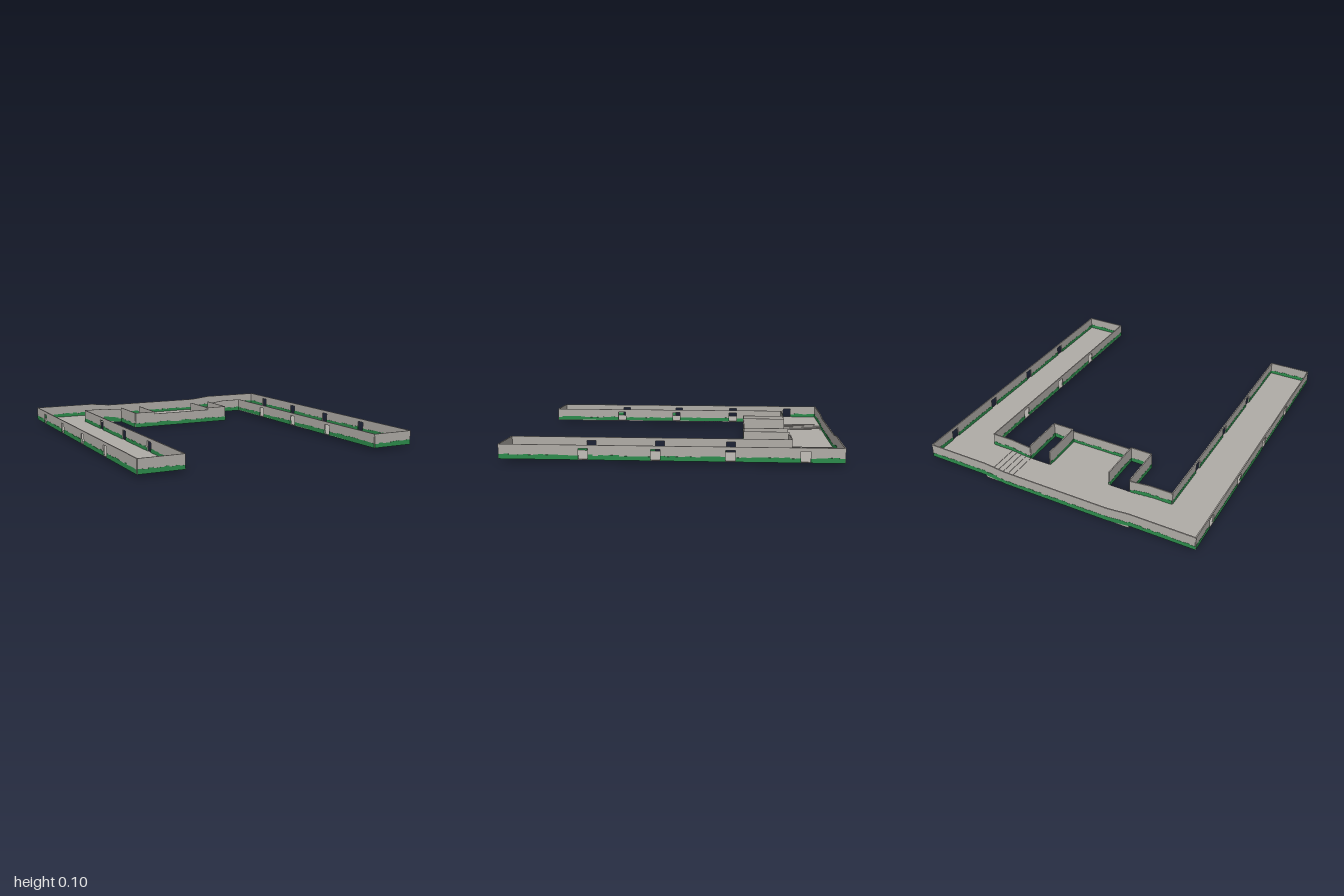
import * as THREE from 'three';

const stone = new THREE.MeshStandardMaterial({ color: 0xb0aca7 });
stone.name = 'grey stone';
const green = new THREE.MeshStandardMaterial({ color: 0x2c8c4c });
green.name = 'moss green';

const T = 0.007;            // wall thickness
const HI = 0.018, LO = 0;   // base heights of the wings and the sunken court
const TOP = 0.105, LOWTOP = 0.09;
const SLOT = 0.055, SLOT_TOP = 0.085;

let seed = 7;
const rand = () => (seed = (seed * 16807) % 2147483647) / 2147483647;

export function createModel() {
  const model = new THREE.Group();

  function box(name, x0, x1, y0, y1, z0, z1) {
    const m = new THREE.Mesh(new THREE.BoxGeometry(x1 - x0, y1 - y0, z1 - z0), stone);
    m.position.set((x0 + x1) / 2, (y0 + y1) / 2, (z0 + z1) / 2);
    m.name = name;
    model.add(m);
  }

  // Upright panel: a (distance, height) outline extruded to the given thickness
  function panel(points, depth, material, name, parent) {
    const shape = new THREE.Shape(points.map(([s, y]) => new THREE.Vector2(s, y)));
    const geo = new THREE.ExtrudeGeometry(shape, { depth, bevelEnabled: false });
    geo.translate(0, 0, -depth / 2);
    const m = new THREE.Mesh(geo, material);
    m.name = name;
    parent.add(m);
  }

  // Wall from a to b with base and top heights at each end, and slots open at the bottom
  function wall(name, [ax, az], [bx, bz], base, top, slots = []) {
    const g = new THREE.Group();
    g.name = name;
    const L = Math.hypot(bx - ax, bz - az);
    const baseAt = s => base[0] + (base[1] - base[0]) * s / L;
    const outline = [[0, base[0]]];
    const runs = [];
    let start = 0;
    for (const c of slots) {
      const s0 = c - SLOT / 2, s1 = c + SLOT / 2;
      outline.push([s0, baseAt(s0)], [s0, SLOT_TOP], [s1, SLOT_TOP], [s1, baseAt(s1)]);
      runs.push([start, s0]);
      start = s1;
    }
    runs.push([start, L]);
    outline.push([L, base[1]], [L, top[1]], [0, top[0]]);
    panel(outline, T, stone, 'wallStone', g);

    // Ragged moss along the foot, showing on both faces
    for (const [s0, s1] of runs) {
      const n = Math.max(1, Math.round((s1 - s0) / 0.03));
      const pts = [[s0, baseAt(s0)], [s1, baseAt(s1)]];
      for (let i = n; i > 0; i--) {
        const h = 0.024 + 0.008 * rand();
        for (const k of [i, i - 1]) {
          const s = s0 + (s1 - s0) * k / n;
          pts.push([s, baseAt(s) + h]);
        }
      }
      panel(pts, T + 0.002, green, 'moss', g);
    }
    g.position.set(ax, 0, az);
    g.rotation.y = Math.atan2(-(bz - az), bx - ax);
    model.add(g);
  }

  // Sunken court floor
  box('courtFloor', -0.5, 0.5, 0, 0.008, -0.997, -0.715);
  box('courtBalcony', -0.215, 0.215, 0, 0.008, -0.715, -0.43);

  const e = T / 2 + 0.001;
  const back = -1 + e, inner = -0.715, outX = 0.92 - e, inX = 0.635 + e, end = 1 - e;
  const slotZ = [-0.775, -0.35, 0.08, 0.5];
  const hi = [HI, HI], hiTop = [TOP, TOP], lo = [LO, LO];

  for (const s of [-1, 1]) {
    const span = (a, b) => [Math.min(s * a, s * b), Math.max(s * a, s * b)];

    // Wing and corner floors
    box('wingFloor', ...span(0.635, 0.918), HI, HI + 0.005, inner, 0.998);
    box('cornerFloor', ...span(0.5, 0.918), HI, HI + 0.005, -0.998, inner);

    // Steps down to the court
    for (let i = 0; i < 4; i++)
      box('step', ...span(0.36 + i * 0.035, 0.395 + i * 0.035), 0.004, 0.011 + i * 0.003, -0.997, inner);

    // Wing walls
    wall('outerWall', [s * outX, back], [s * outX, end], hi, hiTop, slotZ.map(z => z - back));
    wall('innerWall', [s * inX, inner], [s * inX, end], hi, hiTop, slotZ.slice(1).map(z => z - inner));
    wall('endWall', [s * inX, end], [s * outX, end], hi, hiTop);

    // Back corner walls and the sloping walls beside the steps
    wall('backCornerWall', [s * outX, back], [s * 0.5, back], hi, hiTop);
    wall('backSlopeWall', [s * 0.5, back], [s * 0.36, back], [HI, LO], [TOP, LOWTOP]);
    wall('innerCornerWall', [s * inX, inner], [s * 0.5, inner], hi, hiTop);
    wall('innerSlopeWall', [s * 0.5, inner], [s * 0.36, inner], [HI, LO], [TOP, LOWTOP]);

    // Floorless bay beside the balcony
    wall('bayOuterWall', [s * 0.36, inner], [s * 0.36, -0.43], lo, hiTop);
    wall('bayFrontWall', [s * 0.36, -0.43], [s * 0.215, -0.43], lo, hiTop);
    wall('bayInnerWall', [s * 0.215, inner], [s * 0.215, -0.43], lo, hiTop);
  }

  // Low centre walls
  wall('backCentreWall', [-0.36, back], [0.36, back], lo, [LOWTOP, LOWTOP]);
  wall('balconyWall', [-0.215, -0.43], [0.215, -0.43], lo, [LOWTOP, LOWTOP]);

  return model;
}
